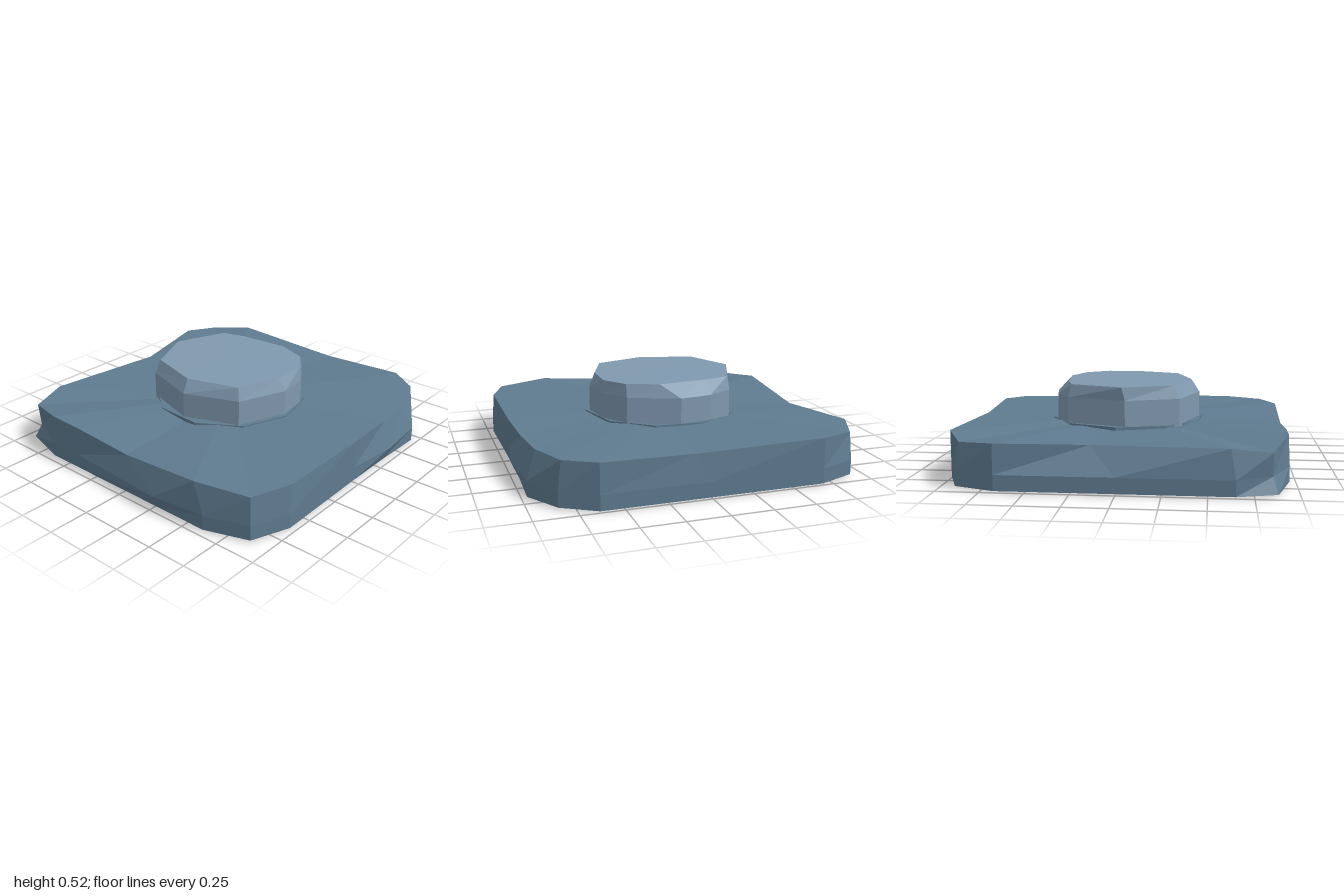
import * as THREE from 'three';

// Faceted skin through rings of [x, y, z] points (clockwise from above, lowest ring first),
// closed at the top by a fan around the given centre
function loft(rings, centre) {
  const pos = [];
  const tri = (...pts) => pts.forEach((p) => pos.push(...p));
  const n = rings[0].length;
  for (let r = 0; r < rings.length - 1; r++) {
    for (let i = 0; i < n; i++) {
      const j = (i + 1) % n;
      const a = rings[r][i], b = rings[r][j], c = rings[r + 1][j], d = rings[r + 1][i];
      tri(a, d, b);
      tri(b, d, c);
    }
  }
  const top = rings[rings.length - 1];
  for (let i = 0; i < n; i++) tri(centre, top[(i + 1) % n], top[i]);
  const g = new THREE.BufferGeometry();
  g.setAttribute('position', new THREE.Float32BufferAttribute(pos, 3));
  g.computeVertexNormals();
  return g;
}

const atHeight = (pts, y) => pts.map(([x, z]) => [x, y, z]);

export function createModel() {
  const model = new THREE.Group();
  model.name = 'studdedPlate';

  const slate = new THREE.MeshStandardMaterial({ color: 0x5f7b90, flatShading: true, side: THREE.DoubleSide });
  slate.name = 'slate blue';
  const pale = new THREE.MeshStandardMaterial({ color: 0x8099af, flatShading: true });
  pale.name = 'pale blue';

  const add = (name, geometry, material) => {
    const mesh = new THREE.Mesh(geometry, material);
    mesh.name = name;
    model.add(mesh);
    return mesh;
  };

  // Hollow plate, open underneath: bottom edge, bulging waist, uneven top rim
  const foot = [
    [-0.68, -1], [0, -1], [0.64, -1], [0.84, -0.88], [0.97, -0.67], [0.96, -0.35],
    [0.96, 0], [0.97, 0.64], [0.88, 0.87], [0.62, 0.96], [0.28, 0.96], [-0.4, 0.96],
    [-0.63, 0.96], [-0.93, 0.88], [-1, 0.65], [-1, 0], [-1, -0.67], [-0.91, -0.91],
  ];
  const waist = atHeight(foot, 0.1);
  waist[5] = [1, 0.1, -0.35];
  waist[10] = [0.28, 0.1, 1];
  waist[13] = [-0.89, 0.1, 0.85];
  const rim = [
    [-0.68, 0.285, -1], [0.1, 0.265, -0.98], [0.64, 0.28, -1], [0.82, 0.275, -0.88],
    [0.91, 0.265, -0.62], [0.94, 0.265, -0.35], [0.96, 0.275, 0], [0.96, 0.275, 0.62],
    [0.87, 0.27, 0.86], [0.55, 0.285, 0.95], [0.02, 0.245, 0.94], [-0.4, 0.28, 0.95],
    [-0.62, 0.285, 0.95], [-0.91, 0.235, 0.85], [-0.97, 0.265, 0.62], [-0.89, 0.255, -0.15],
    [-1, 0.275, -0.67], [-0.91, 0.262, -0.88],
  ];
  add('plate', loft([atHeight(foot, 0.01), waist, rim], [0, 0.278, 0]), slate);

  // Peg under the plate, its rim just showing around the stud
  const peg = add('peg', new THREE.CylinderGeometry(0.485, 0.485, 0.285, 10), slate);
  peg.position.set(-0.02, 0.1425, -0.02);
  peg.rotation.y = 0.25;

  // Stud on top, with an uneven bevel
  const wall = [
    [-0.48, 0], [-0.36, -0.36], [-0.2, -0.45], [0, -0.48], [0.3, -0.36],
    [0.41, -0.2], [0.44, 0], [0.32, 0.3], [-0.01, 0.43], [-0.36, 0.32],
  ];
  const crown = [
    [-0.48, -0.02], [-0.35, -0.34], [-0.2, -0.38], [0.11, -0.41], [0.3, -0.34],
    [0.4, -0.2], [0.4, 0.02], [0.3, 0.28], [-0.02, 0.38], [-0.35, 0.28],
  ];
  const studRings = [atHeight(wall, 0.27), atHeight(wall, 0.44), atHeight(crown, 0.52)];
  add('stud', loft(studRings, [-0.03, 0.525, -0.03]), pale);

  return model;
}
